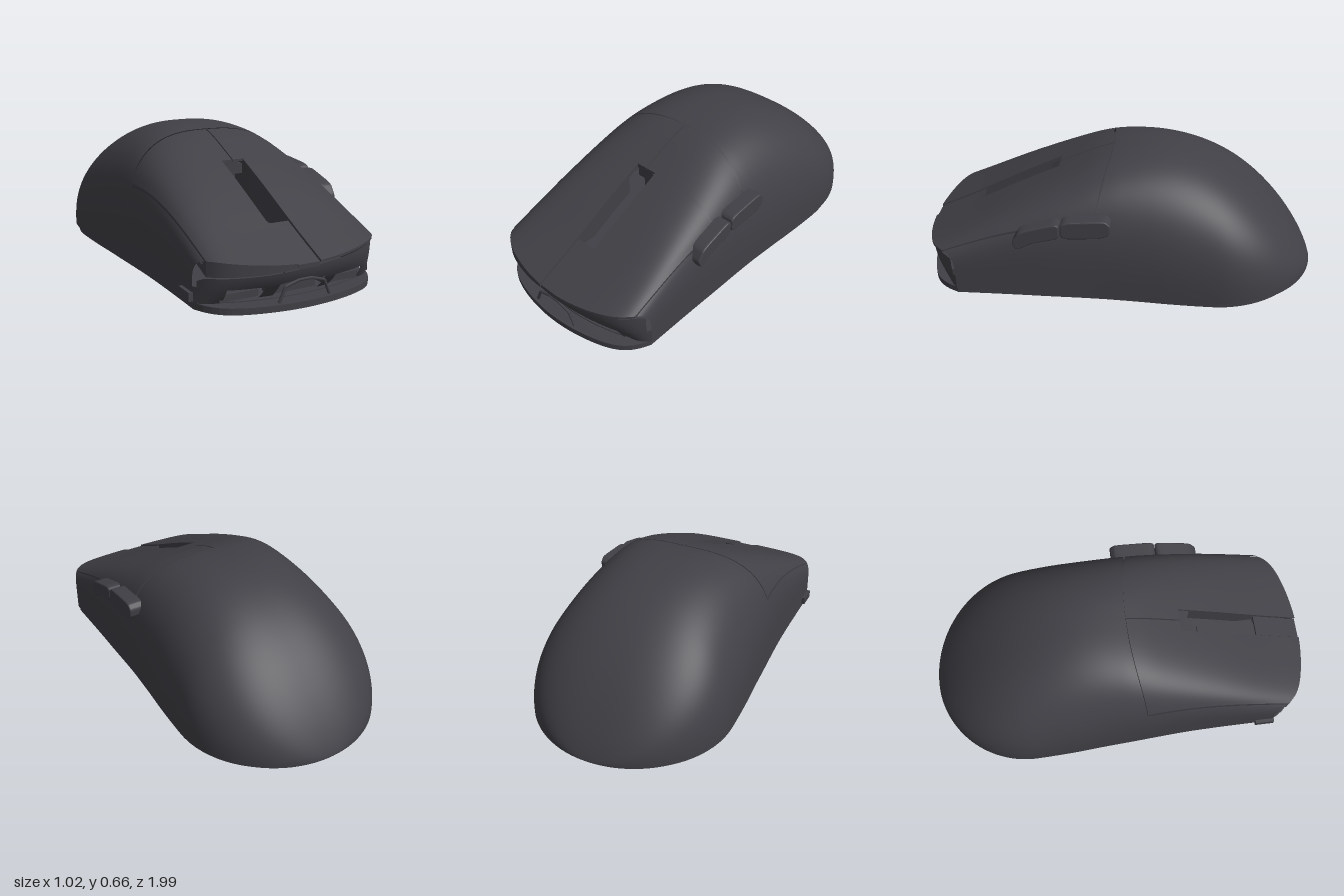
import * as THREE from 'three';
import { mergeGeometries } from 'three/addons/utils/BufferGeometryUtils.js';

const BASE = 0.03; // height at which the shell meets the base plate
const lerp = THREE.MathUtils.lerp;

// smooth curve through [position, value] pairs
function curve(pts, t) {
  const n = pts.length;
  if (t <= pts[0][0]) return pts[0][1];
  if (t >= pts[n - 1][0]) return pts[n - 1][1];
  let i = 0;
  while (t > pts[i + 1][0]) i++;
  const slope = k => {
    const a = pts[Math.max(k - 1, 0)], b = pts[Math.min(k + 1, n - 1)];
    return (b[1] - a[1]) / (b[0] - a[0]);
  };
  const [x0, y0] = pts[i], [x1, y1] = pts[i + 1], d = x1 - x0, u = (t - x0) / d;
  const u2 = u * u, u3 = u2 * u;
  return (2 * u3 - 3 * u2 + 1) * y0 + (u3 - 2 * u2 + u) * d * slope(i)
    + (3 * u2 - 2 * u3) * y1 + (u3 - u2) * d * slope(i + 1);
}

// body profile: half width, crown height and section squareness along z
const WIDTH = [[-0.7, 0.51], [-0.5, 0.51], [-0.3, 0.503], [-0.1, 0.489], [0.2, 0.473], [0.5, 0.465], [1, 0.464]];
const HEIGHT = [[-0.3, 0.639], [-0.15, 0.655], [0, 0.643], [0.1, 0.617], [0.2, 0.577], [0.5, 0.44], [0.8, 0.292], [1, 0.2]];
const SQUARE = [[-1, 2.5], [-0.5, 2.5], [-0.2, 2.65], [0.07, 3.2], [0.4, 4.5], [0.8, 6], [1, 6]];
function halfWidth(s, z) {
  if (z < -0.5) return 0.51 * Math.sqrt(Math.max(0, 1 - ((z + 0.5) / 0.5) ** 2));
  return curve(WIDTH, z) + (s > 0 ? 0.008 : -0.006) * THREE.MathUtils.smoothstep(z, 0, 0.4);
}
function crown(z) {
  if (z > -0.15) return curve(HEIGHT, z);
  return BASE + 0.625 * Math.max(0, 1 - ((z + 0.15) / 0.85) ** 2) ** 0.83;
}
// point of the body surface; s runs from -1 to 1 across it
function body(s, z) {
  const n = curve(SQUARE, z);
  const rise = Math.max(0, 1 - Math.abs(s) ** n) ** (1 / n);
  return [s * halfWidth(s, z), BASE + (crown(z) - BASE) * rise, z];
}
const spread = q => Math.sign(q) * (1 - (1 - Math.abs(q)) ** 3);
const seamZ = s => 0.035 + 0.07 * s * s;
const frontZ = s => 0.995 - 0.11 * s * s - 0.09 * s ** 10;
const buttonDepth = x => Math.max(0.012, 0.015 - x * 0.13);

// smooth grid from f(u, v), u across and v towards the front
function grid(f, nu, nv) {
  const pos = [], index = [];
  for (let j = 0; j <= nv; j++) for (let i = 0; i <= nu; i++) pos.push(...f(i / nu, j / nv));
  for (let j = 0; j < nv; j++) for (let i = 0; i < nu; i++) {
    const a = j * (nu + 1) + i, b = a + nu + 1;
    index.push(a, b, a + 1, a + 1, b, b + 1);
  }
  const g = new THREE.BufferGeometry();
  g.setAttribute('position', new THREE.Float32BufferAttribute(pos, 3));
  g.setIndex(index);
  g.computeVertexNormals();
  return g;
}
// grid with an underside and four rims
function slab(f, depth, nu, nv) {
  const drop = (p, k) => [p[0], p[1] - depth(p[0]) * k, p[2]];
  return mergeGeometries([
    grid(f, nu, nv),
    grid((u, v) => drop(f(1 - u, v), 1), nu, nv),
    grid((u, v) => drop(f(u, 1), v), nu, 1),
    grid((u, v) => drop(f(u, 0), 1 - v), nu, 1),
    grid((u, v) => drop(f(0, v), 1 - u), 1, nv),
    grid((u, v) => drop(f(1, v), u), 1, nv),
  ]);
}
// plan outline of the body with the sensor opening
function planShape(k, back, front) {
  const pts = [];
  for (let i = 0; i <= 40; i++) {
    const s = lerp(1, -1, i / 40);
    pts.push(new THREE.Vector2(s * halfWidth(s, 0.8) * k, -frontZ(s) * front));
  }
  for (let i = 1; i < 80; i++) {
    const a = Math.PI * i / 80, side = i < 40 ? -1 : 1;
    const z = lerp(-1, 0.79, 1 - Math.sin(a));
    pts.push(new THREE.Vector2(side * halfWidth(side, z) * k, -z * (z < 0 ? back : front)));
  }
  const shape = new THREE.Shape(pts);
  shape.holes.push(new THREE.Path().absarc(0, -0.38, 0.085, 0, Math.PI * 2, true));
  return shape;
}
// polygon with softened corners
function softShape(pts, r) {
  const v = pts.map(p => new THREE.Vector2(-p[0], p[1])), shape = new THREE.Shape();
  v.forEach((p, i) => {
    const a = v[(i + v.length - 1) % v.length], b = v[(i + 1) % v.length];
    const p0 = p.clone().lerp(a, r), p1 = p.clone().lerp(b, r);
    if (i === 0) shape.moveTo(p0.x, p0.y); else shape.lineTo(p0.x, p0.y);
    shape.quadraticCurveTo(p.x, p.y, p1.x, p1.y);
  });
  shape.closePath();
  return shape;
}

export function createModel() {
  const group = new THREE.Group();
  const charcoal = new THREE.MeshStandardMaterial({ color: 0x414046, side: THREE.DoubleSide });
  charcoal.name = 'charcoal';
  const add = (name, geometry, x = 0, y = 0, z = 0) => {
    const mesh = new THREE.Mesh(geometry, charcoal);
    mesh.name = name;
    mesh.position.set(x, y, z);
    group.add(mesh);
    return mesh;
  };
  const box = (name, w, h, d, x, y, z) => add(name, new THREE.BoxGeometry(w, h, d), x, y, z);

  // palm shell, running back from the button seam
  add('palmShell', grid((u, v) => {
    const s = spread(u * 2 - 1);
    return body(s, lerp(-1, seamZ(s), v ** 1.7));
  }, 96, 64));

  // ledge under the button seam
  add('seamLedge', grid((u, v) => {
    const s = lerp(-0.93, 0.93, u), p = body(s, seamZ(s) + lerp(-0.02, 0.03, v));
    return [p[0], p[1] - 0.025, p[2]];
  }, 40, 3));

  for (const side of [-1, 1]) {
    const name = side > 0 ? 'left' : 'right';
    const across = u => (side > 0 ? u : 1 - u);
    // side wall beside the main button, with a ledge below its seam
    add(name + 'SideWall', grid((u, v) => {
      const s = side * spread(lerp(0.598, 1, across(u)));
      return body(s, lerp(seamZ(s), frontZ(s), v));
    }, 24, 40));
    add(name + 'SideLedge', grid((u, v) => {
      const s = side * lerp(0.9, 0.95, across(u)), p = body(s, lerp(0.1, 0.83, v));
      return [p[0] - side * 0.006, p[1] - 0.022, p[2]];
    }, 3, 30));
    // main button: rear half meets at a hairline, front half leaves the wheel slot
    for (const [part, inner, z0, z1] of [
      ['ButtonRear', 0.003, s => seamZ(s) + 0.008, () => 0.32],
      ['ButtonFront', 0.058, () => 0.32, frontZ],
    ]) {
      add(name + part, slab((u, v) => {
        const s = side * lerp(inner / 0.466, 0.925, across(u));
        return body(s, lerp(z0(s), z1(s), v));
      }, buttonDepth, 30, 24));
    }
    // inner cheek of the wheel slot
    add(name + 'SlotCheek', grid((u, v) => {
      const p = body(side * 0.135, lerp(0.38, 0.9, u));
      return [p[0], p[1] - lerp(0.012, 0.12, v), p[2]];
    }, 10, 1));
  }

  // wheel slot: front strip, floor, rear bracket and post
  add('slotStrip', slab((u, v) => {
    const p = body(lerp(-0.116, 0.116, u), lerp(0.74, 0.99, v));
    return [p[0], p[1] - 0.008, p[2]];
  }, () => 0.02, 4, 8));
  box('slotFloor', 0.12, 0.02, 0.3, 0, 0.245, 0.592);
  box('slotBracket', 0.116, 0.05, 0.04, 0, 0.475, 0.295);
  box('slotClip', 0.07, 0.02, 0.02, 0, 0.51, 0.305);
  box('slotPost', 0.04, 0.2, 0.03, 0, 0.37, 0.3);
  box('slotCrossbar', 0.116, 0.03, 0.03, 0, 0.33, 0.28);

  // front fascia: a leaning band over four pillars
  const fascia = (s, y) => {
    const lean = 0.1 * (1 - s ** 4) * (1 - (y - BASE) / 0.17) ** 2;
    return [s * halfWidth(s, 0.8), y, frontZ(s) - 0.01 - lean];
  };
  const fasciaFoot = s => 0.1 + 0.02 * Math.max(0, 1 - (s / 0.3) ** 2);
  add('fasciaBand', grid((u, v) => {
    const s = lerp(-0.97, 0.97, u), p = body(s, frontZ(s));
    return fascia(s, lerp(p[1] - buttonDepth(p[0]) - 0.01, fasciaFoot(s), v));
  }, 60, 6));
  for (const [a, b] of [[-1, -0.75], [-0.39, -0.25], [0.25, 0.39], [0.75, 1]]) {
    add('fasciaPillar', grid((u, v) => fascia(lerp(a, b, u), lerp(0.105, BASE, v)), 8, 3));
  }
  const arch = [[-0.13, 0.03], [-0.1, 0.1], [-0.03, 0.12], [0.03, 0.12], [0.1, 0.1], [0.13, 0.03]];
  const archPath = new THREE.CurvePath();
  for (let i = 0; i < arch.length - 1; i++) {
    archPath.add(new THREE.LineCurve3(new THREE.Vector3(...arch[i], 0.965), new THREE.Vector3(...arch[i + 1], 0.965)));
  }
  add('frontArch', new THREE.TubeGeometry(archPath, 40, 0.007, 6));
  for (const x of [-0.265, 0.265]) box('innerRail', 0.19, 0.035, 0.06, x, 0.05, 0.83);
  box('innerRail', 0.24, 0.06, 0.06, 0, 0.06, 0.84);

  // thumb buttons on the left side
  const thumb = {
    frontThumbButton: [[0.49, 0.325], [0.455, 0.378], [0.272, 0.43], [0.272, 0.36], [0.4, 0.33], [0.475, 0.29]],
    rearThumbButton: [[0.254, 0.436], [0.05, 0.452], [0.026, 0.43], [0.03, 0.39], [0.07, 0.37], [0.254, 0.36]],
  };
  for (const [name, pts] of Object.entries(thumb)) {
    const g = new THREE.ExtrudeGeometry(softShape(pts, 0.25), {
      depth: 0.095, bevelEnabled: true, bevelThickness: 0.008, bevelSize: 0.007, bevelSegments: 3, curveSegments: 5,
    });
    add(name, g.rotateY(Math.PI / 2), 0.392);
  }

  // base plate and the rim closing the shell above it
  const plate = (k, back, front, depth) =>
    new THREE.ExtrudeGeometry(planShape(k, back, front), { depth, bevelEnabled: false, curveSegments: 20 }).rotateX(-Math.PI / 2);
  add('basePlate', plate(0.98, 0.96, 0.998, BASE));
  add('shellRim', plate(0.995, 0.995, 0.92, 0.005), 0, BASE, 0);
  box('sideTab', 0.02, 0.04, 0.1, -0.465, 0.06, 0.75);
  return group;
}
